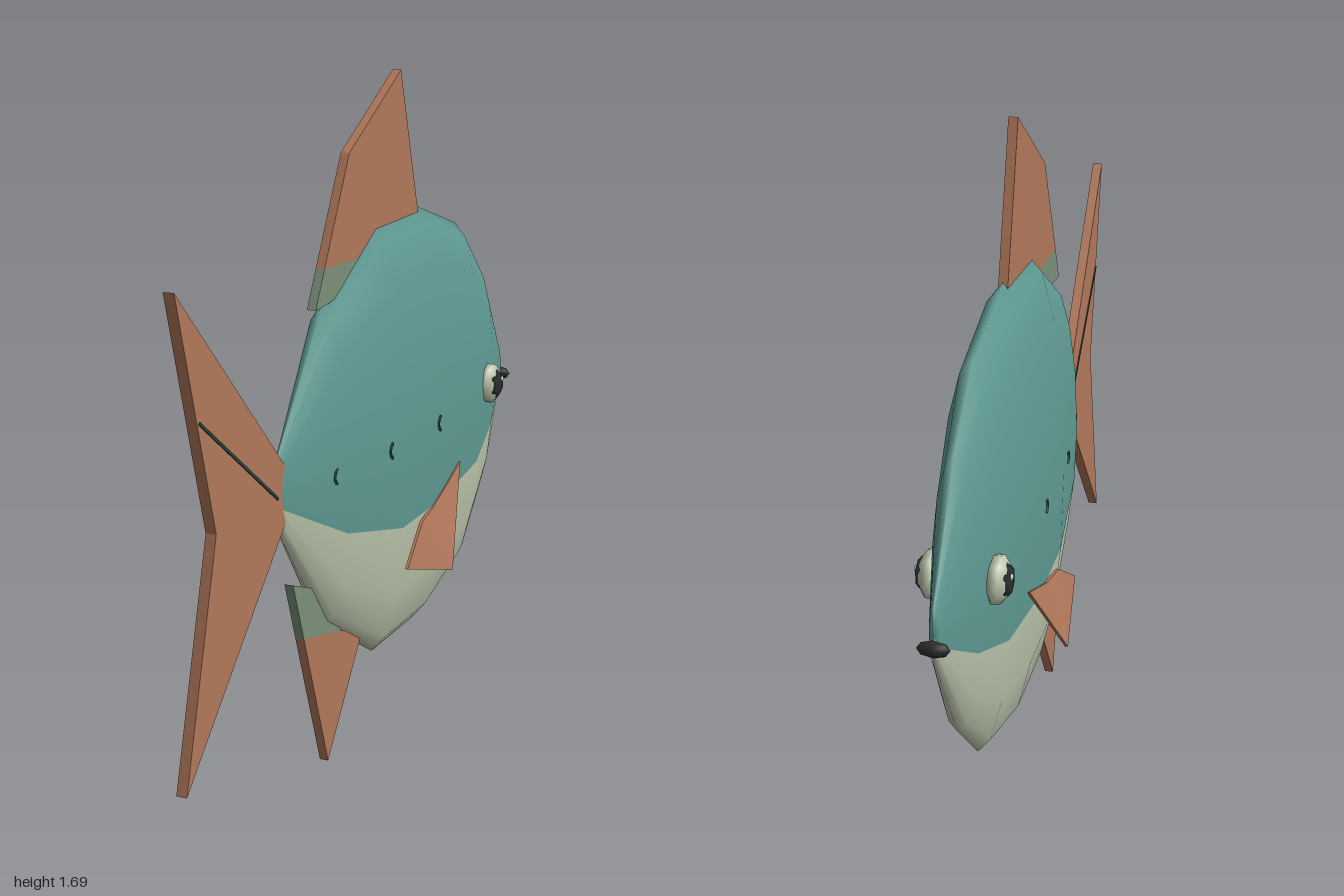
import * as THREE from 'three';

const mat = (name, color, extra = {}) => {
  const m = new THREE.MeshStandardMaterial({ color, ...extra });
  m.name = name;
  return m;
};

export function createModel() {
  const fish = new THREE.Group();
  fish.name = 'fish';
  const teal = mat('teal back', 0x5f9a93);
  const cream = mat('cream belly', 0xbcc6ac);
  const rust = mat('rust fin', 0xb0775a);
  const sage = mat('sage fin root', 0x7b9079);
  const line = mat('dark teal marking', 0x24423f);
  const black = mat('black', 0x2a2f2e);
  const white = mat('eye glint', 0xf2f4ee);

  const add = (name, geometry, material, parent = fish) => {
    const mesh = new THREE.Mesh(geometry, material);
    mesh.name = name;
    parent.add(mesh);
    return mesh;
  };

  // Body: elliptical sections [z, top, bottom, half width], nose to tail
  const sections = [
    [-0.977, 0.765, 0.765, 0], [-0.975, 0.83, 0.70, 0.012], [-0.79, 1.09, 0.43, 0.054],
    [-0.60, 1.25, 0.265, 0.083], [-0.31, 1.33, 0.185, 0.095], [-0.02, 1.32, 0.185, 0.095],
    [0.28, 1.155, 0.36, 0.074], [0.53, 0.84, 0.68, 0.012], [0.531, 0.76, 0.76, 0],
  ];
  const sides = 16;
  const pos = [], back = [], belly = [];
  for (const [z, top, bottom, w] of sections) {
    for (let j = 0; j < sides; j++) {
      const a = (j / sides) * Math.PI * 2;
      pos.push(w * Math.sin(a), (top + bottom) / 2 + (top - bottom) / 2 * Math.cos(a), z);
    }
  }
  for (let i = 0; i < sections.length - 1; i++) {
    for (let j = 0; j < sides; j++) {
      const a = i * sides + j, b = i * sides + (j + 1) % sides;
      const c = a + sides, d = b + sides;
      (j >= 5 && j <= 10 ? belly : back).push(a, c, b, b, c, d);
    }
  }
  const body = new THREE.BufferGeometry();
  body.setAttribute('position', new THREE.Float32BufferAttribute(pos, 3));
  body.setIndex([...back, ...belly]);
  body.addGroup(0, back.length, 0);
  body.addGroup(back.length, belly.length, 1);
  body.computeVertexNormals();
  add('body', body, [teal, cream]);

  // Flat fins: outlines in (z, y), extruded across x
  const plate = (name, points, thickness, material) => {
    const shape = new THREE.Shape(points.map(([z, y]) => new THREE.Vector2(z, y)));
    const g = new THREE.ExtrudeGeometry(shape, { depth: thickness, bevelEnabled: false });
    g.translate(0, 0, -thickness / 2).rotateY(-Math.PI / 2);
    return add(name, g, material);
  };
  plate('tailFin', [[0.51, 0.83], [1, 1.31], [0.845, 0.76], [1, 0.215], [0.51, 0.69]], 0.026, rust);
  plate('dorsalFin', [[-0.305, 1.30], [-0.18, 1.69], [0.14, 1.51], [0.285, 1.25], [0.05, 1.25]], 0.023, rust);
  plate('dorsalFinRoot', [[0.285, 1.25], [0.335, 1.16], [0.26, 1.165], [0.05, 1.2], [0.05, 1.25]], 0.023, sage);
  plate('analFin', [[0.07, 0.27], [0.28, 0], [0.414, 0.37], [0.2, 0.32]], 0.023, rust);
  plate('analFinRoot', [[0.414, 0.37], [0.47, 0.525], [0.3, 0.46], [0.2, 0.32]], 0.023, sage);

  // Fin ray on the tail
  const ray = add('tailRay', new THREE.BoxGeometry(0.032, 0.007, 0.445), line);
  ray.position.set(0, 0.89, 0.73);
  ray.rotation.x = -Math.atan2(0.26, 0.36);

  // Pectoral fin: thin folded wedge
  const finCorners = [[0.086, 0.61, -0.43], [0.143, 0.365, -0.23], [0.115, 0.44, 0.02],
    [0.098, 0.525, -0.12], [0.088, 0.535, -0.22]];
  const finGeometry = (s) => {
    const p = [];
    for (const t of [0.004, -0.004]) {
      for (const [x, y, z] of finCorners) p.push((x + t) * s, y, z);
    }
    const idx = [];
    for (const [a, b, c] of [[0, 4, 1], [4, 3, 1], [3, 2, 1]]) {
      idx.push(a, b, c, a + 5, c + 5, b + 5);
    }
    for (let i = 0; i < 5; i++) {
      const n = (i + 1) % 5;
      idx.push(i, n, n + 5, i, n + 5, i + 5);
    }
    if (s > 0) {
      for (let i = 0; i < idx.length; i += 3) [idx[i + 1], idx[i + 2]] = [idx[i + 2], idx[i + 1]];
    }
    // Reverse the order so the outward faces are the front ones
    for (let i = 0; i < idx.length; i += 3) [idx[i + 1], idx[i + 2]] = [idx[i + 2], idx[i + 1]];
    const g = new THREE.BufferGeometry();
    g.setAttribute('position', new THREE.Float32BufferAttribute(p, 3));
    g.setIndex(idx);
    const flat = g.toNonIndexed();
    flat.computeVertexNormals();
    return flat;
  };

  // Low-poly ellipsoid with its pole along x
  const bead = (name, parent, material, center, radii, n) => {
    const g = new THREE.SphereGeometry(1, n, Math.max(4, n / 2)).rotateZ(Math.PI / 2);
    g.scale(...radii).translate(...center);
    return add(name, g, material, parent);
  };

  for (const [label, s] of [['left', 1], ['right', -1]]) {
    add(label + 'PectoralFin', finGeometry(s), rust);

    const eye = new THREE.Group();
    eye.name = label + 'Eye';
    fish.add(eye);
    bead('eyeWhite', eye, cream, [s * 0.075, 0.775, -0.703], [0.03, 0.06, 0.06], 10);
    bead('pupil', eye, black, [s * 0.096, 0.775, -0.703], [0.015, 0.042, 0.042], 6);
    bead('glint', eye, white, [s * 0.108, 0.789, -0.715], [0.004, 0.009, 0.009], 6);

    // Small curved scale marks along the flank
    for (const [z, x] of [[-0.255, 0.096], [0.06, 0.09], [0.33, 0.06]]) {
      const arc = new THREE.TorusGeometry(0.02, 0.004, 5, 8, Math.PI * 0.8);
      arc.rotateZ(-Math.PI * 0.4).rotateY(-Math.PI / 2);
      add(label + 'ScaleMark', arc, line).position.set(s * x, 0.76, z - 0.013);
    }
  }

  // Mouth
  bead('mouth', fish, black, [0, 0.742, -0.986], [0.037, 0.021, 0.014], 8);
  return fish;
}
